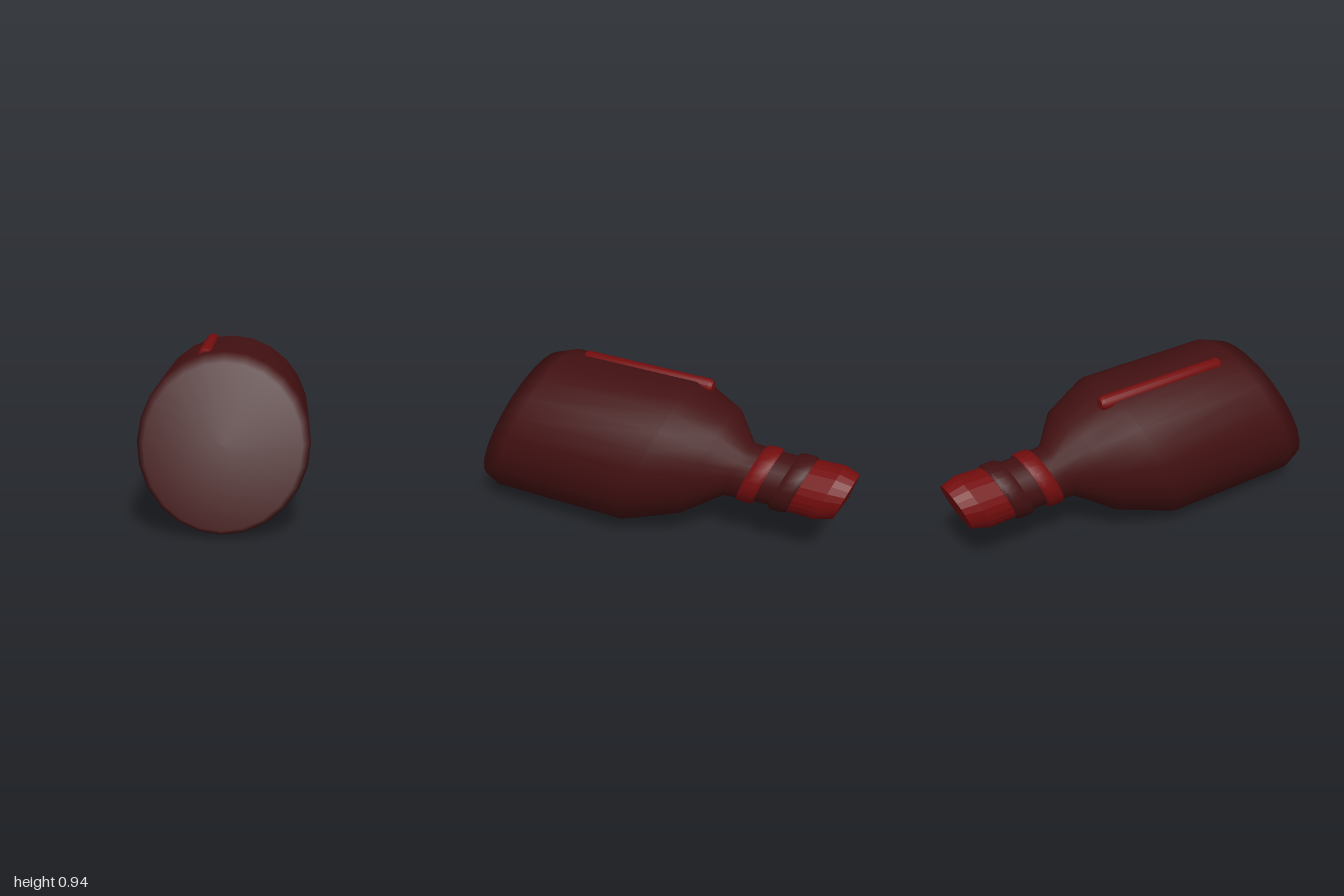
import * as THREE from 'three';
import { toCreasedNormals } from 'three/addons/utils/BufferGeometryUtils.js';

const glass = new THREE.MeshStandardMaterial({ color: 0x421011 });
glass.name = 'dark maroon';
const trim = new THREE.MeshStandardMaterial({ color: 0x740d0e });
trim.name = 'red';

// every ring of the bottle leans along its axis
const LEAN = new THREE.Matrix4().makeShear(0, 0, 0, 0, 0, 0.383);

// profile: [radius, distance along the axis towards the neck]
function turned(name, profile, material, crease) {
  const points = profile.map(([r, t]) => new THREE.Vector2(r, t));
  let geometry = new THREE.LatheGeometry(points, 24);
  geometry.applyMatrix4(LEAN);
  if (crease) geometry = toCreasedNormals(geometry, crease);
  const mesh = new THREE.Mesh(geometry, material);
  mesh.name = name;
  return mesh;
}

// collar with a slightly bevelled rim
function collar(name, from, to, radius, material) {
  const b = 0.02;
  return turned(name, [
    [0.14, from], [radius - 0.01, from], [radius, from + b],
    [radius, to - b], [radius - 0.01, to], [0.14, to],
  ], material, 0.6);
}

export function createModel() {
  const model = new THREE.Group();
  model.name = 'bottle';

  // local y runs along the bottle towards the neck, local z points up
  const bottle = new THREE.Group();
  bottle.name = 'lyingBottle';
  const angle = THREE.MathUtils.degToRad(40);
  const c = Math.cos(angle), s = Math.sin(angle);
  const side = new THREE.Vector3(s, 0, -c);
  const along = new THREE.Vector3(-c, 0, -s);
  const up = new THREE.Vector3(0, 1, 0);
  bottle.quaternion.setFromRotationMatrix(new THREE.Matrix4().makeBasis(side, along, up));
  bottle.position.copy(side).multiplyScalar(0.024).setY(0.465);
  model.add(bottle);

  // body, shoulders and neck
  bottle.add(turned('body', [
    [0, -0.89], [0.42, -0.89], [0.465, -0.77], [0.465, 0.065],
    [0.338, 0.37], [0.17, 0.55], [0.16, 0.66], [0.155, 0.95],
  ], glass));

  // neck collars
  bottle.add(collar('lowerCollar', 0.63, 0.735, 0.178, trim));
  bottle.add(collar('upperCollar', 0.83, 0.94, 0.18, glass));

  // stopper with a bevelled end
  bottle.add(turned('stopper', [
    [0.165, 0.93], [0.17, 1.1], [0.14, 1.2], [0, 1.215],
  ], trim, 0.25));

  // bar set into the upper side
  const barProfile = [[0, -0.505], [0.03, -0.505], [0.042, -0.49], [0.042, 0.31], [0.03, 0.328], [0, 0.328]];
  const barGeometry = new THREE.LatheGeometry(barProfile.map(([r, t]) => new THREE.Vector2(r, t)), 12);
  const bar = new THREE.Mesh(toCreasedNormals(barGeometry, 0.7), trim);
  bar.name = 'sideBar';
  bar.position.set(-0.117, 0, 0.428);
  bottle.add(bar);

  return model;
}
